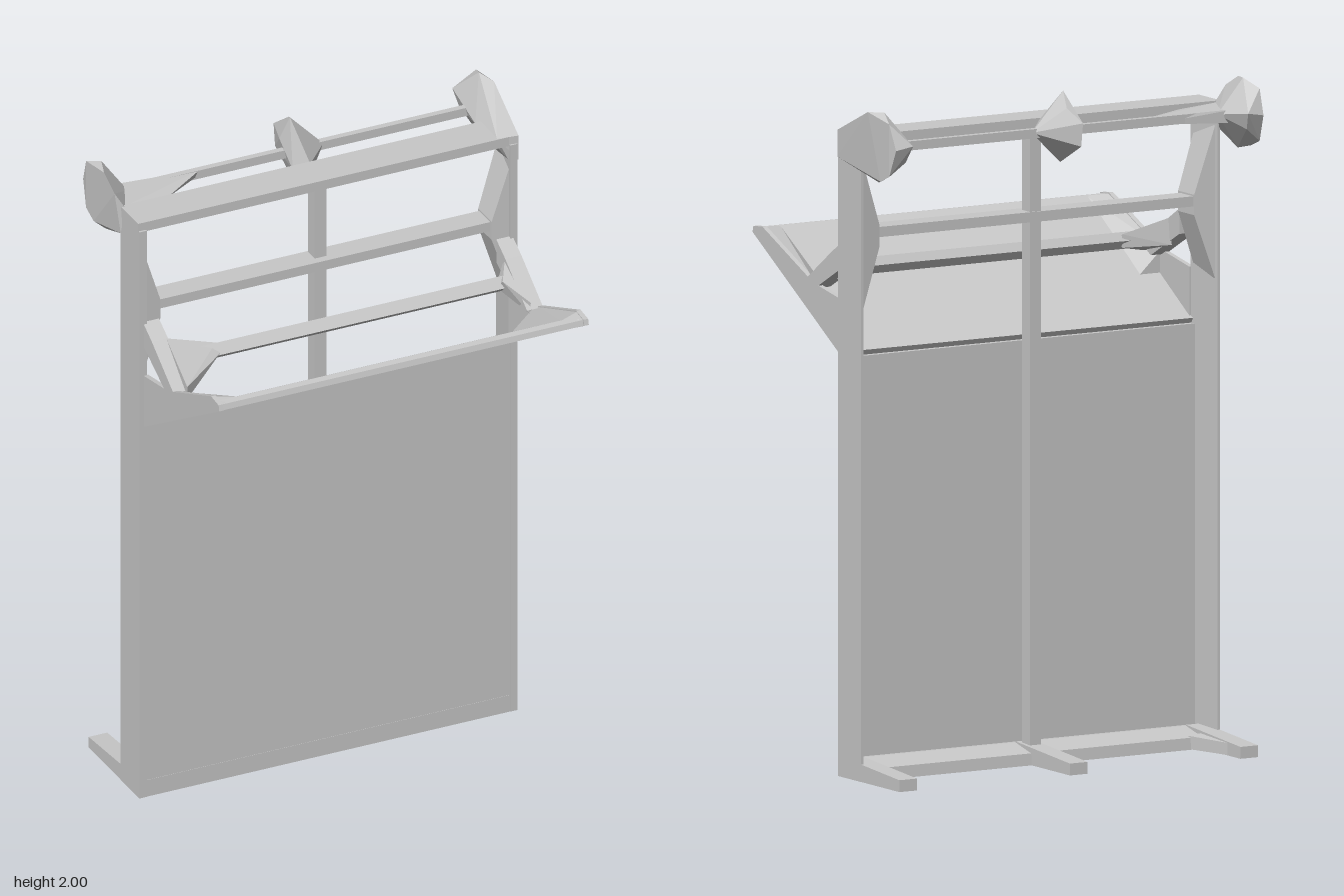
import * as THREE from 'three';
import { ConvexGeometry } from 'three/addons/geometries/ConvexGeometry.js';

export function createModel() {
  const model = new THREE.Group();
  const grey = new THREE.MeshStandardMaterial({ color: 0xc8c8c8, flatShading: true });
  grey.name = 'paintedMetal';

  const add = (name, geometry) => {
    const mesh = new THREE.Mesh(geometry, grey);
    mesh.name = name;
    model.add(mesh);
    return mesh;
  };
  // Box given by its limits on each axis
  const box = (name, x0, x1, y0, y1, z0, z1) => {
    const g = new THREE.BoxGeometry(x1 - x0, y1 - y0, z1 - z0);
    g.translate((x0 + x1) / 2, (y0 + y1) / 2, (z0 + z1) / 2);
    return add(name, g);
  };
  // Side profile of [z, y] points, extruded from x0 to x1
  const profile = (name, pts, x0, x1) => {
    const shape = new THREE.Shape(pts.map(([z, y]) => new THREE.Vector2(z, y)));
    const g = new THREE.ExtrudeGeometry(shape, { depth: x1 - x0, bevelEnabled: false });
    g.rotateY(-Math.PI / 2);
    g.translate(x1, 0, 0);
    return add(name, g);
  };
  // Faceted convex lump; side -1 mirrors it to the other half
  const hull = (name, pts, side = 1) =>
    add(name, new ConvexGeometry(pts.map(([x, y, z]) => new THREE.Vector3(x * side, y, z))));

  // Main frame
  box('frontPanel', -0.602, 0.602, 0.02, 1.235, -0.095, -0.075);
  profile('bottomRail', [
    [-0.074, 0], [-0.074, 0.055], [-0.11, 0.055], [-0.197, 0.035], [-0.2, 0],
  ], -0.61, 0.61);
  box('topBeam', -0.612, 0.612, 1.875, 1.905, -0.2, -0.08);
  box('centrePost', -0.02, 0.018, 0.03, 1.88, -0.17, -0.125);
  box('upperRail', -0.55, 0.55, 1.595, 1.625, -0.175, -0.1);
  profile('lowerRail', [[0.01, 1.505], [-0.005, 1.48], [0.01, 1.455], [0.033, 1.475]], -0.54, 0.54);

  // Rear feet, tapering toward the tip; the right one broadens at its base
  const foot = [[-0.09, 0], [-0.414, 0], [-0.414, 0.035], [-0.11, 0.058]];
  for (const x of [-0.58, 0, 0.58]) profile('foot', foot, x - 0.03, x + 0.03);
  hull('rightFootFlare', [
    [-0.6, 0.001, -0.19], [-0.6, 0.05, -0.19], [-0.51, 0.001, -0.19], [-0.51, 0.04, -0.19],
    [-0.56, 0.001, -0.38], [-0.56, 0.036, -0.38],
  ]);

  for (const s of [-1, 1]) {
    const span = (a, b) => (s > 0 ? [a, b] : [-b, -a]);

    // Thin side sheets, thicker at the front, with a gusset carrying the upper rail
    hull('sidePost', [0, 1.88].flatMap((y) => [
      [0.611, y, -0.073], [0.611, y, -0.2], [0.602, y, -0.2], [0.587, y, -0.073],
    ]), s);
    hull('postGusset', [
      [0.6, 1.83, -0.19], [0.6, 1.83, -0.085],
      [0.6, 1.38, -0.19], [0.6, 1.38, -0.085],
      [0.535, 1.63, -0.18], [0.535, 1.63, -0.09],
      [0.535, 1.57, -0.18], [0.535, 1.57, -0.09],
    ], s);

    // Shelf sides: a thin cheek and a fillet sloping in to the shelf
    const [f0, f1] = span(0.582, 0.597);
    profile('shelfCheek', [
      [-0.075, 1.23], [0.43, 1.532], [0.425, 1.55], [0.375, 1.555], [0.09, 1.43], [-0.075, 1.4],
    ], f0, f1);
    hull('shelfFillet', [
      [0.59, 1.43, 0.09], [0.59, 1.553, 0.375], [0.59, 1.548, 0.42],
      [0.59, 1.335, 0.09], [0.59, 1.53, 0.42],
      [0.515, 1.36, 0.09], [0.52, 1.548, 0.4], [0.52, 1.53, 0.42], [0.515, 1.335, 0.09],
    ], s);

    // Diagonal strut from post to shelf
    const [b0, b1] = span(0.545, 0.597);
    profile('shelfStrut', [
      [-0.08, 1.5], [0.08, 1.415], [0.125, 1.44], [-0.02, 1.54], [-0.08, 1.575],
    ], b0, b1);
  }

  // Flared ends of the lower rail
  hull('leftRailEnd', [
    [0.56, 1.42, 0.11], [0.56, 1.54, -0.05], [0.56, 1.47, -0.06],
    [0.51, 1.46, -0.01], [0.51, 1.5, 0.035], [0.56, 1.46, 0.12],
  ]);
  hull('rightRailEnd', [
    [-0.56, 1.42, 0.14], [-0.55, 1.54, -0.02], [-0.55, 1.46, -0.03],
    [-0.4, 1.46, 0], [-0.4, 1.5, 0], [-0.4, 1.48, 0.03], [-0.56, 1.46, 0.14],
  ]);

  // Sloping shelf
  profile('shelfPlate', [
    [-0.075, 1.23], [0.425, 1.53], [0.42, 1.547], [0.4, 1.55], [0.15, 1.397], [-0.085, 1.25],
  ], -0.595, 0.595);

  // Rear top rail with its faceted brackets
  box('rearTopRail', -0.6, 0.6, 1.87, 1.897, -0.325, -0.305);
  hull('rightRailFlare', [
    [-0.6, 1.9, -0.2], [-0.6, 1.86, -0.2], [-0.58, 1.9, -0.335], [-0.47, 1.89, -0.2],
    [-0.58, 1.86, -0.335], [-0.3, 1.895, -0.312], [-0.3, 1.875, -0.318],
  ]);
  hull('centreBracket', [
    [-0.01, 2.0, -0.31], [-0.03, 1.92, -0.34], [-0.03, 1.86, -0.25], [0.1, 1.885, -0.315],
    [0, 1.79, -0.31], [-0.005, 1.92, -0.43], [-0.005, 1.85, -0.42], [0, 1.9, -0.195],
    [0.02, 1.96, -0.38], [0, 1.86, -0.195],
  ]);

  // End brackets: the left one wraps the beam end, the right one starts behind it
  const bracketTail = [
    [0.63, 1.985, -0.27], [0.61, 1.99, -0.33], [0.63, 1.965, -0.39],
    [0.57, 1.9, -0.425], [0.625, 1.89, -0.42], [0.63, 1.81, -0.39],
    [0.61, 1.78, -0.3], [0.63, 1.79, -0.34], [0.58, 1.85, -0.4],
  ];
  hull('leftBracket', [
    [0.615, 1.905, -0.076], [0.615, 1.825, -0.076],
    [0.55, 1.905, -0.085], [0.585, 1.83, -0.085], [0.545, 1.89, -0.22],
    ...bracketTail,
  ]);
  hull('rightBracket', [
    [-0.63, 1.95, -0.2], [-0.615, 1.82, -0.19], [-0.6, 1.9, -0.19], [-0.535, 1.885, -0.31],
    ...bracketTail.map(([x, y, z]) => [-x, y, z]),
  ]);

  return model;
}
